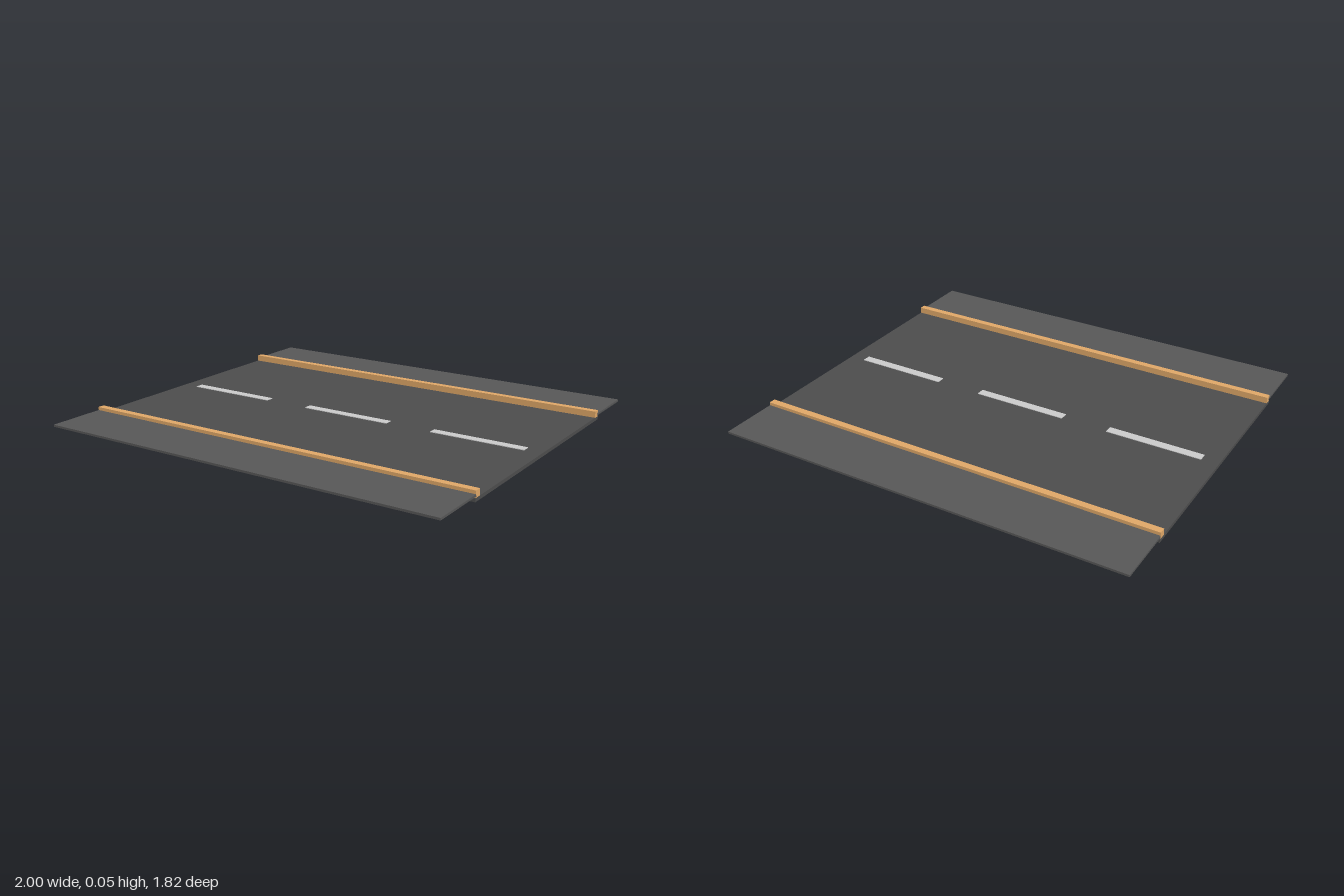
import * as THREE from 'three';

const LENGTH = 2;

function slab(name, color, [w, h, d], [x, bottom, z]) {
  const mesh = new THREE.Mesh(
    new THREE.BoxGeometry(w, h, d),
    new THREE.MeshStandardMaterial({ color })
  );
  mesh.name = name;
  mesh.position.set(x, bottom + h / 2, z);
  return mesh;
}

export function createModel() {
  const road = new THREE.Group();
  road.name = 'roadSection';

  // Carriageway
  road.add(slab('carriageway', 0x4d4d4d, [LENGTH, 0.016, 1.27], [0, 0, 0]));

  // Dashed centre line
  for (const x of [-0.69, 0, 0.69]) {
    road.add(slab('centreDash', 0xcccccc, [0.46, 0.004, 0.042], [x, 0.015, 0]));
  }

  // Kerb and raised sidewalk on each side
  for (const [side, s] of [['front', 1], ['back', -1]]) {
    road.add(slab(side + 'Kerb', 0xe0a868, [LENGTH, 0.031, 0.032], [0, 0.015, s * 0.614]));
    road.add(slab(side + 'Sidewalk', 0x575757, [LENGTH, 0.01, 0.285], [0, 0.021, s * 0.7655]));
  }
  return road;
}
